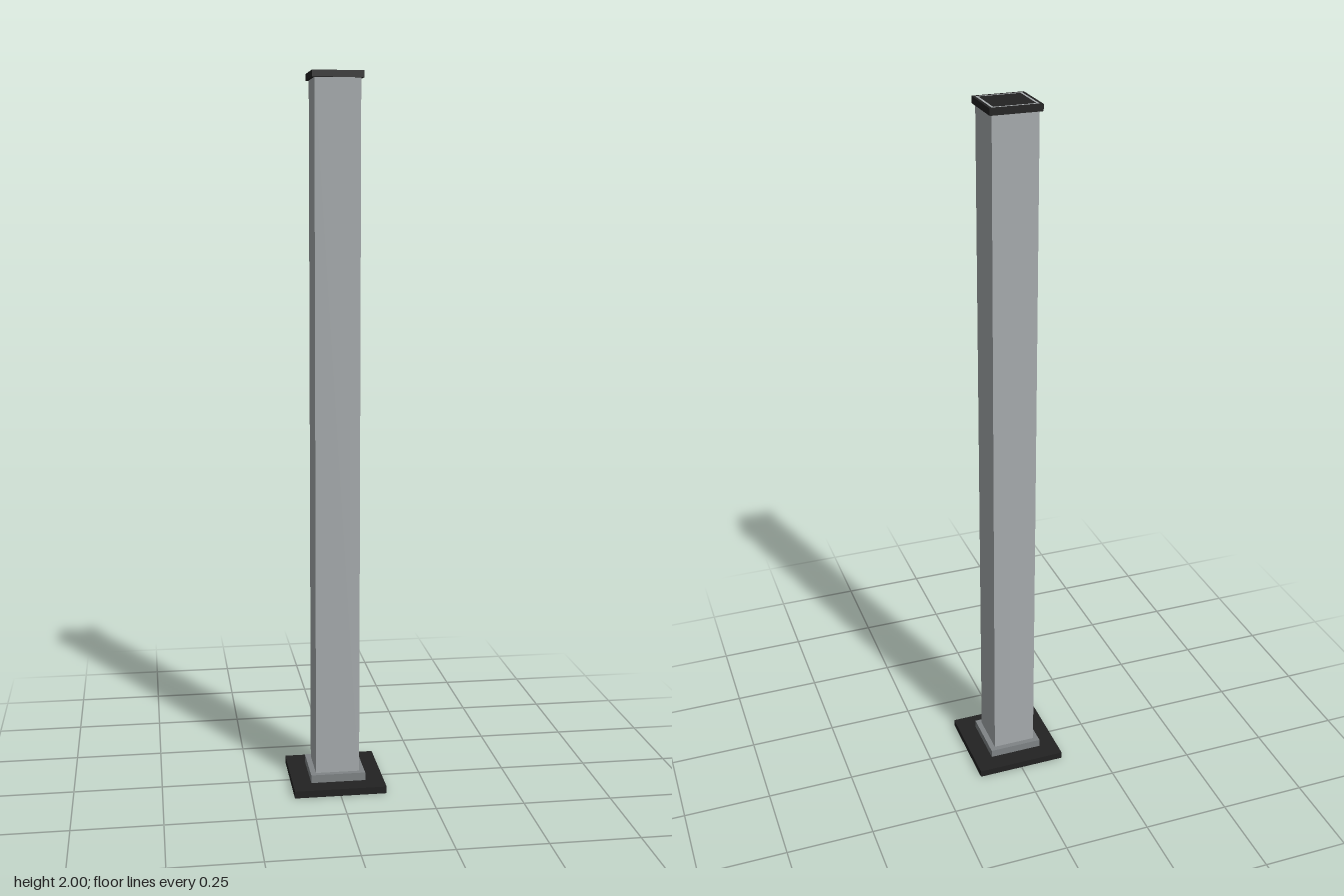
import * as THREE from 'three';

const mat = (name, color) => Object.assign(new THREE.MeshStandardMaterial({ color }), { name });

// Square outline of half-width r
function square(Type, r) {
  return new Type([[-r, -r], [r, -r], [r, r], [-r, r]].map(([x, y]) => new THREE.Vector2(x, y)));
}

// Upright square section between two heights, hollow when inner > 0
function section(name, outer, inner, y0, y1, material) {
  const shape = square(THREE.Shape, outer);
  if (inner > 0) shape.holes.push(square(THREE.Path, inner));
  const geo = new THREE.ExtrudeGeometry(shape, { depth: y1 - y0, bevelEnabled: false });
  geo.rotateX(-Math.PI / 2).translate(0, y0, 0);
  const mesh = new THREE.Mesh(geo, material);
  mesh.name = name;
  return mesh;
}

export function createModel() {
  const black = mat('black plastic', 0x222222);
  const steel = mat('light steel', 0xa6abad);
  const grey = mat('collar grey', 0x7f8486);

  const post = new THREE.Group();
  post.name = 'squarePost';
  post.add(
    section('basePlate', 0.131, 0, 0, 0.02, black),
    section('collar', 0.078, 0.0625, 0.02, 0.043, grey),
    section('tube', 0.0625, 0.0562, 0.02, 2, steel),
    // The tube rim shows between the cap's outer frame and inner plug
    section('capFrame', 0.07, 0.0625, 1.982, 2, black),
    section('capPlug', 0.0562, 0, 1.982, 2, black),
  );
  return post;
}
